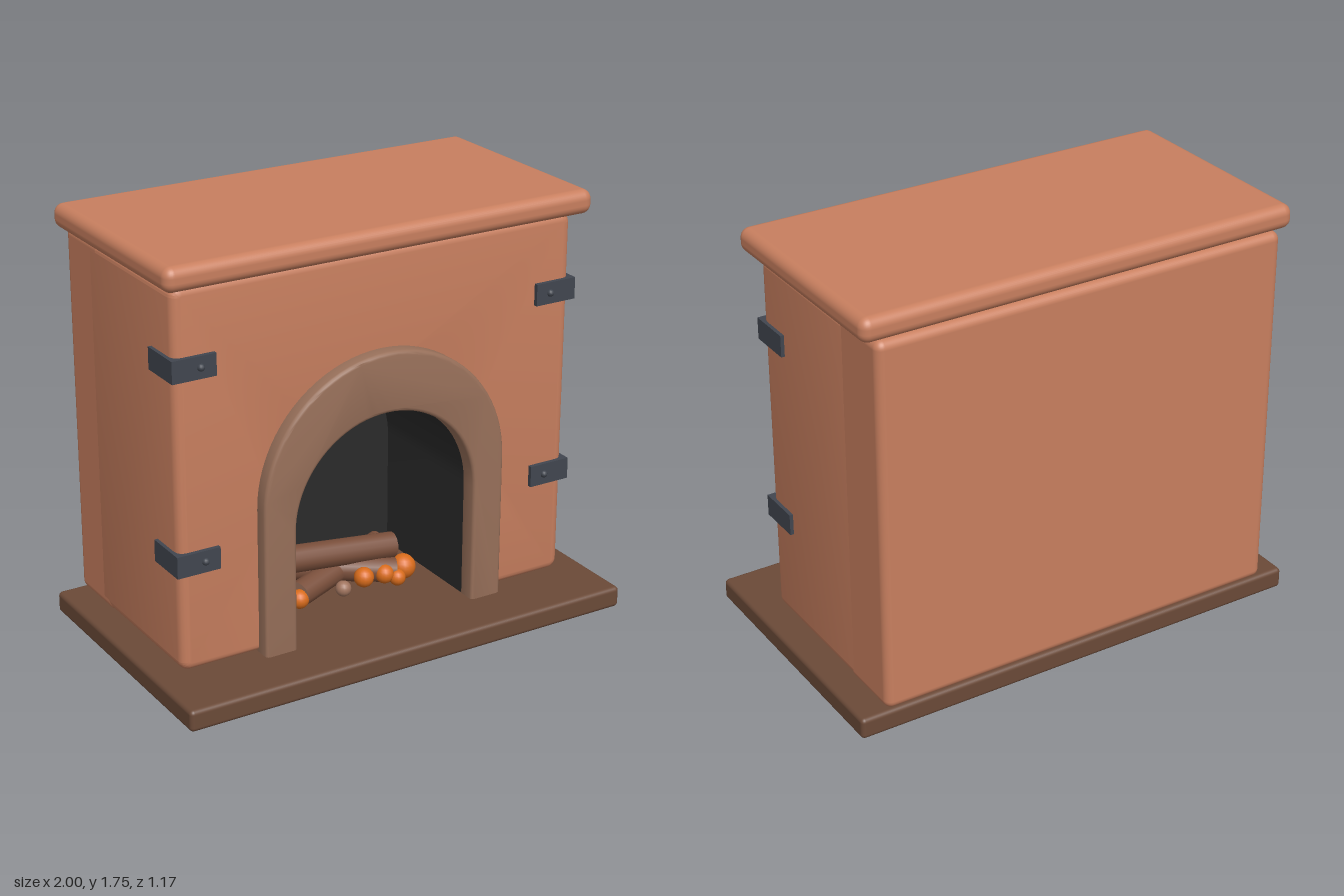
import * as THREE from 'three';
import { toCreasedNormals } from 'three/addons/utils/BufferGeometryUtils.js';
import { RoundedBoxGeometry } from 'three/addons/geometries/RoundedBoxGeometry.js';

function material(name, color) {
  const m = new THREE.MeshStandardMaterial({ color });
  m.name = name;
  return m;
}

export function createModel() {
  const clay = material('terracotta', 0xc87f5f);
  const hearthBrown = material('hearth brown', 0x6b4a38);
  const stone = material('arch stone', 0x98705a);
  const soot = material('soot', 0x2b2b2b);
  const iron = material('iron', 0x41464f);
  const bark = material('bark', 0x7a4f3b);
  const cutWood = material('cut wood', 0xa0745e);
  const ember = material('ember orange', 0xd96c1c);

  const group = new THREE.Group();
  group.name = 'fireplace';

  function add(name, geometry, mat, x = 0, y = 0, z = 0, parent = group) {
    const mesh = new THREE.Mesh(geometry, mat);
    mesh.name = name;
    mesh.position.set(x, y, z);
    parent.add(mesh);
    return mesh;
  }

  // Rounded block given by its limits on each axis
  function block(name, mat, [x0, x1], [y0, y1], [z0, z1], r, parent = group) {
    const g = new RoundedBoxGeometry(x1 - x0, y1 - y0, z1 - z0, 4, r);
    return add(name, g, mat, (x0 + x1) / 2, (y0 + y1) / 2, (z0 + z1) / 2, parent);
  }

  // Extrusion whose bevel stays within z0..z1
  function extrude(shape, z0, z1, bevel, segments = 4) {
    const g = new THREE.ExtrudeGeometry(shape, {
      depth: z1 - z0 - 2 * bevel, bevelEnabled: bevel > 0, bevelSize: bevel,
      bevelThickness: bevel, bevelSegments: segments, curveSegments: 20,
    });
    g.translate(0, 0, z0 + bevel);
    return toCreasedNormals(g, 0.6);
  }

  // Upside-down U between an outer and an inner arch
  function archBand(outer, outerSpring, inner, innerSpring, bottom) {
    const s = new THREE.Shape();
    s.moveTo(outer, bottom);
    s.lineTo(outer, outerSpring);
    s.absarc(0, outerSpring, outer, 0, Math.PI, false);
    s.lineTo(-outer, bottom);
    s.lineTo(-inner, bottom);
    s.lineTo(-inner, innerSpring);
    s.absarc(0, innerSpring, inner, Math.PI, 0, true);
    s.lineTo(inner, bottom);
    s.closePath();
    return s;
  }

  // Hearth slab and mantel shelf
  block('hearth', hearthBrown, [-1, 1], [0, 0.09], [-0.585, 0.585], 0.018);
  block('mantel', clay, [-0.945, 0.945], [1.65, 1.75], [-0.585, 0.375], 0.04);

  // Body: solid rear part, and a front part with the fire opening cut out
  const r = 0.035;
  block('bodyRear', clay, [-0.89, 0.89], [0.09, 1.65], [-0.585, -0.29], r);
  const w = 0.89 - r, low = 0.09 + r, high = 1.65 - r, hole = 0.41 + 0.03 + r;
  const front = new THREE.Shape();
  front.moveTo(hole, low);
  front.lineTo(w - 0.01, low);
  front.absarc(w - 0.01, low + 0.01, 0.01, -Math.PI / 2, 0, false);
  front.absarc(w - 0.01, high - 0.01, 0.01, 0, Math.PI / 2, false);
  front.absarc(-w + 0.01, high - 0.01, 0.01, Math.PI / 2, Math.PI, false);
  front.absarc(-w + 0.01, low + 0.01, 0.01, Math.PI, Math.PI * 1.5, false);
  front.lineTo(-hole, low);
  front.lineTo(-hole, 0.59);
  front.absarc(0, 0.59, hole, Math.PI, 0, true);
  front.closePath();
  add('bodyFront', extrude(front, -0.4, 0.305, r), clay);

  // Firebox lining and back wall
  add('fireboxLining', extrude(archBand(0.45, 0.59, 0.412, 0.59, 0.08), -0.285, 0.29, 0), soot);
  const back = new THREE.Shape();
  back.moveTo(-0.43, 0.08);
  back.lineTo(0.43, 0.08);
  back.lineTo(0.43, 0.59);
  back.absarc(0, 0.59, 0.43, 0, Math.PI, false);
  back.closePath();
  add('fireboxBack', new THREE.ShapeGeometry(back, 20), soot, 0, 0, -0.28);

  // Arch surround
  const b = 0.015;
  add('archSurround', extrude(archBand(0.55 - b, 0.7, 0.41 + b, 0.59, 0.06), 0.28, 0.365, b, 3), stone);

  // Iron corner straps with rivets
  for (const side of [-1, 1]) {
    for (const y of [1.335, 0.55]) {
      const strap = new THREE.Group();
      strap.name = 'cornerStrap';
      strap.position.y = y;
      group.add(strap);
      add('frontPlate', new THREE.BoxGeometry(0.185, 0.09, 0.03), iron, side * 0.8125, 0, 0.308, strap);
      add('sidePlate', new THREE.BoxGeometry(0.03, 0.09, 0.188), iron, side * 0.89, 0, 0.229, strap);
      add('rivet', new THREE.SphereGeometry(0.015, 12, 8), iron, side * 0.785, 0, 0.323, strap);
    }
  }

  // Logs from end to end, with cut faces
  const up = new THREE.Vector3(0, 1, 0);
  const logs = [
    [[-0.24, 0.275, -0.02], [0.25, 0.235, 0.01], 0.058],
    [[-0.23, 0.21, -0.1], [0.23, 0.145, 0.06], 0.055],
    [[-0.22, 0.145, 0.05], [0.25, 0.2, -0.1], 0.055],
  ];
  for (const [p, q, radius] of logs) {
    const a = new THREE.Vector3(...p), c = new THREE.Vector3(...q);
    const dir = c.clone().sub(a);
    const g = new THREE.CylinderGeometry(radius * 0.95, radius, dir.length(), 14);
    const log = add('log', g, [bark, cutWood, cutWood]);
    log.position.copy(a).add(c).multiplyScalar(0.5);
    log.quaternion.setFromUnitVectors(up, dir.normalize());
  }

  // Glowing embers and one cold coal
  const embers = [
    [-0.28, 0.145, -0.05, 0.042], [-0.23, 0.135, 0.07, 0.04], [0.07, 0.16, 0.08, 0.042],
    [0.28, 0.145, 0.05, 0.053], [0.17, 0.15, 0.08, 0.04], [0.22, 0.13, 0.1, 0.035],
  ];
  for (const [x, y, z, s] of embers) add('ember', new THREE.SphereGeometry(s, 16, 12), ember, x, y, z);
  add('coal', new THREE.SphereGeometry(0.033, 16, 12), cutWood, -0.05, 0.155, 0.115);

  return group;
}
